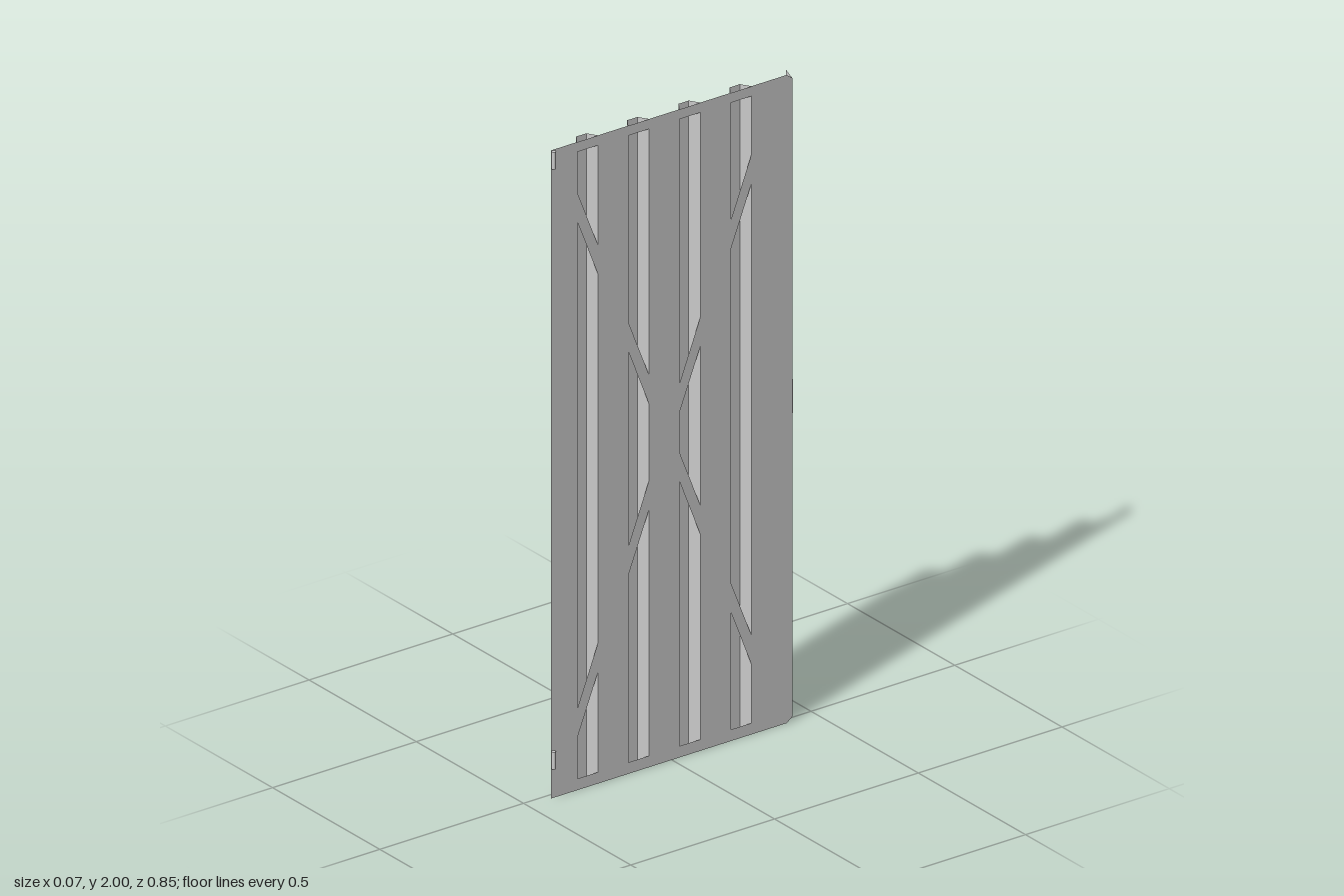
import * as THREE from 'three';

const FACE = 0.02;    // x of the flat face
const BACK = -0.01;   // x of the rib crests and edge fold
const HALF = 0.42;    // half width along z
const TOP = 2;

export function createModel() {
  const model = new THREE.Group();
  const material = new THREE.MeshStandardMaterial({
    color: 0xcccccc, side: THREE.DoubleSide, flatShading: true,
  });
  const add = (name, geometry) => {
    const mesh = new THREE.Mesh(geometry, material);
    mesh.name = name;
    model.add(mesh);
    return mesh;
  };

  // Folded sheet: an [x, z] profile swept from y0 to y1
  const foldedSheet = (profile, y0, y1) => {
    const positions = [];
    for (let i = 0; i < profile.length - 1; i++) {
      const [xa, za] = profile[i];
      const [xb, zb] = profile[i + 1];
      positions.push(xa, y0, za, xb, y0, zb, xb, y1, zb);
      positions.push(xa, y0, za, xb, y1, zb, xa, y1, za);
    }
    const g = new THREE.BufferGeometry();
    g.setAttribute('position', new THREE.Float32BufferAttribute(positions, 3));
    g.computeVertexNormals();
    return g;
  };

  // Flat plate on the face, outlined by [z, y] points
  const toVectors = (points) => points.map(([z, y]) => new THREE.Vector2(-z, y));
  const facePlate = (outline, hole, x) => {
    const shape = new THREE.Shape(toVectors(outline));
    if (hole) shape.holes.push(new THREE.Path(toVectors(hole)));
    return new THREE.ShapeGeometry(shape).rotateY(Math.PI / 2).translate(x, 0, 0);
  };

  // Ribbed panel with four trapezoidal ribs opening towards +x
  const profile = [[FACE, HALF]];
  for (let i = 0; i < 4; i++) {
    const c = 0.292 - i * 0.178;
    profile.push([FACE, c + 0.036], [BACK, c + 0.018], [BACK, c - 0.018], [FACE, c - 0.036]);
  }
  profile.push([FACE, -0.4]);
  add('ribbedPanel', foldedSheet(profile, 0, TOP));

  // Border frame, with clipped corners on the latch side
  add('borderFrame', facePlate(
    [[HALF, 0], [-0.4, 0], [-HALF, 0.015], [-HALF, TOP - 0.015], [-0.4, TOP], [HALF, TOP]],
    [[0.39, 0.035], [0.39, 1.97], [-0.385, 1.97], [-0.385, 0.035]],
    FACE + 0.001,
  ));

  // Folded edge on the latch side
  const fold = new THREE.Shape([
    [BACK, 0], [FACE, 0.015], [FACE, TOP - 0.015], [BACK, TOP],
  ].map(([x, y]) => new THREE.Vector2(x, y)));
  add('foldedEdge', new THREE.ShapeGeometry(fold).translate(0, 0, -HALF));

  // Crossing diagonal braces
  for (const s of [1, -1]) {
    const mid = (z) => 1.003 + s * 2.54 * (z - 0.015);
    const h = 0.045;
    const a = 0.39;
    const b = -0.36;
    add(s > 0 ? 'braceRising' : 'braceFalling', facePlate(
      [[a, mid(a) - h], [b, mid(b) - h], [b, mid(b) + h], [a, mid(a) + h]],
      null, FACE + 0.001,
    ));
  }

  // Bent latch plate
  add('latchPlate', foldedSheet(
    [[FACE, -0.423], [-0.035, -0.423], [-0.035, -0.395]], 0.95, 1.055,
  ));

  // Hinge barrels
  for (const [name, y] of [['upperHinge', 1.972], ['lowerHinge', 0.12]]) {
    const hinge = add(name, new THREE.CylinderGeometry(0.0065, 0.0065, 0.053, 12));
    hinge.position.set(0.0275, y, 0.4155);
  }

  return model;
}
